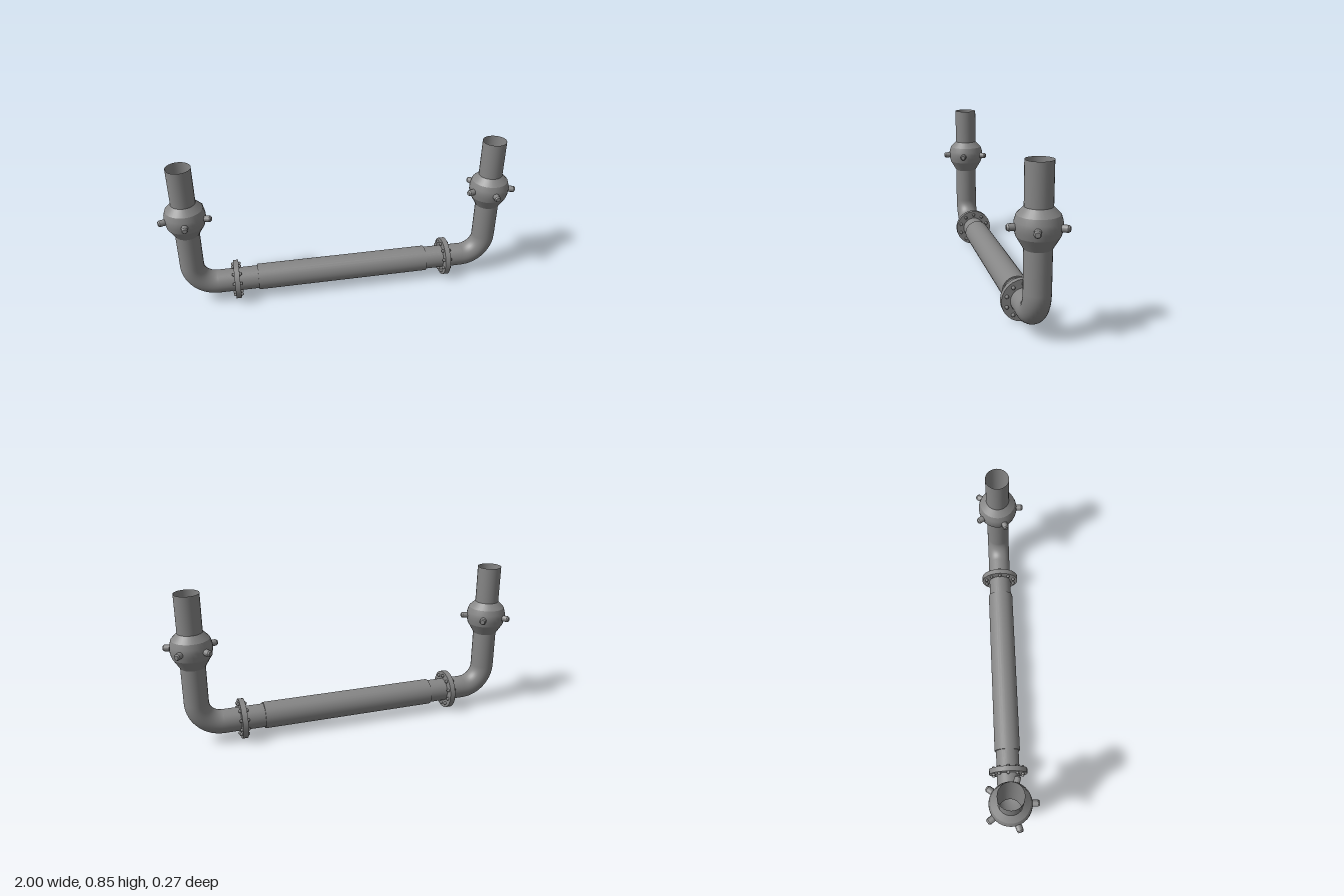
import * as THREE from 'three';

const steel = new THREE.MeshStandardMaterial({ color: 0x868686, side: THREE.DoubleSide });
steel.name = 'greySteel';

const AXIS_Y = 0.114, Z = -0.009, R = 0.066; // main pipe axis and radius
const RISER_X = 0.857, BEND = 0.135, TOP = 0.857, VALVE_Y = 0.562;

function add(parent, name, geometry, x = 0, y = 0, z = 0) {
  const mesh = new THREE.Mesh(geometry, steel);
  mesh.name = name;
  mesh.position.set(x, y, z);
  parent.add(mesh);
  return mesh;
}

// lathe with hard edges: each listed run of points is smoothed on its own
function turned(parent, name, runs, segments) {
  const group = new THREE.Group();
  group.name = name;
  for (const run of runs) {
    const pts = run.map(([r, y]) => new THREE.Vector2(r, y));
    add(group, name + 'Surface', new THREE.LatheGeometry(pts, segments));
  }
  parent.add(group);
  return group;
}

// swelling joint with five radial studs
function makeJoint(x) {
  const joint = new THREE.Group();
  joint.name = 'valveJoint';
  joint.position.set(x, VALVE_Y, 0);
  turned(joint, 'jointBody', [
    [[R, -0.105], [0.102, -0.045]],
    [[0.102, -0.045], [0.109, -0.018], [0.111, 0.005], [0.109, 0.025], [0.1, 0.053]],
    [[0.1, 0.053], [R, 0.088]],
  ], 32);
  for (let i = 0; i < 5; i++) {
    const stud = turned(joint, 'stud', [
      [[0.0175, 0.095], [0.0175, 0.138]],
      [[0.0175, 0.138], [0.012, 0.146]],
      [[0.012, 0.146], [0, 0.146]],
    ], 14);
    stud.rotation.set(Math.PI / 2, 0, -i * Math.PI * 2 / 5);
    stud.rotation.order = 'YXZ';
    stud.rotation.set(Math.PI / 2, i * Math.PI * 2 / 5, 0);
  }
  return joint;
}

// round flange with ten through bolts
function makeFlange(x) {
  const flange = new THREE.Group();
  flange.name = 'boltedFlange';
  flange.position.set(x, 0, 0);
  flange.rotation.z = Math.PI / 2;
  add(flange, 'flangeDisc', new THREE.CylinderGeometry(0.111, 0.111, 0.03, 24));
  for (let i = 0; i < 10; i++) {
    const a = i * Math.PI / 5;
    const bolt = turned(flange, 'bolt', [
      [[0, -0.028], [0.006, -0.027], [0.0095, -0.022], [0.0095, 0.022], [0.006, 0.027], [0, 0.028]],
    ], 10);
    bolt.position.set(0.088 * Math.cos(a), 0, 0.088 * Math.sin(a));
  }
  return flange;
}

export function createModel() {
  const model = new THREE.Group();
  model.name = 'pipeAssembly';

  // horizontal run and its thicker sleeve
  const runLength = 2 * (RISER_X - BEND);
  add(model, 'horizontalPipe', new THREE.CylinderGeometry(R, R, runLength, 32, 1, true), 0, AXIS_Y, Z)
    .rotation.z = Math.PI / 2;
  add(model, 'sleeve', new THREE.CylinderGeometry(0.074, 0.074, 0.994, 32, 1, true), 0, AXIS_Y, Z)
    .rotation.z = Math.PI / 2;

  for (const side of [-1, 1]) {
    const x = side * RISER_X;

    // ring closing the sleeve end
    add(model, 'sleeveEnd', new THREE.RingGeometry(R - 0.001, 0.074, 32), side * 0.497, AXIS_Y, Z)
      .rotation.y = side * Math.PI / 2;

    // elbow and open riser
    const bendY = AXIS_Y + BEND;
    add(model, 'elbow', new THREE.TorusGeometry(BEND, R, 32, 16, Math.PI / 2), x - side * BEND, bendY, Z)
      .rotation.z = side > 0 ? -Math.PI / 2 : Math.PI;
    add(model, 'riser', new THREE.CylinderGeometry(R, R, TOP - bendY, 32, 1, true), x, (TOP + bendY) / 2, Z);

    const joint = makeJoint(x);
    joint.position.z = Z;
    model.add(joint);

    const flange = makeFlange(side * 0.617);
    flange.position.set(side * 0.617, AXIS_Y, Z);
    model.add(flange);
  }
  return model;
}
